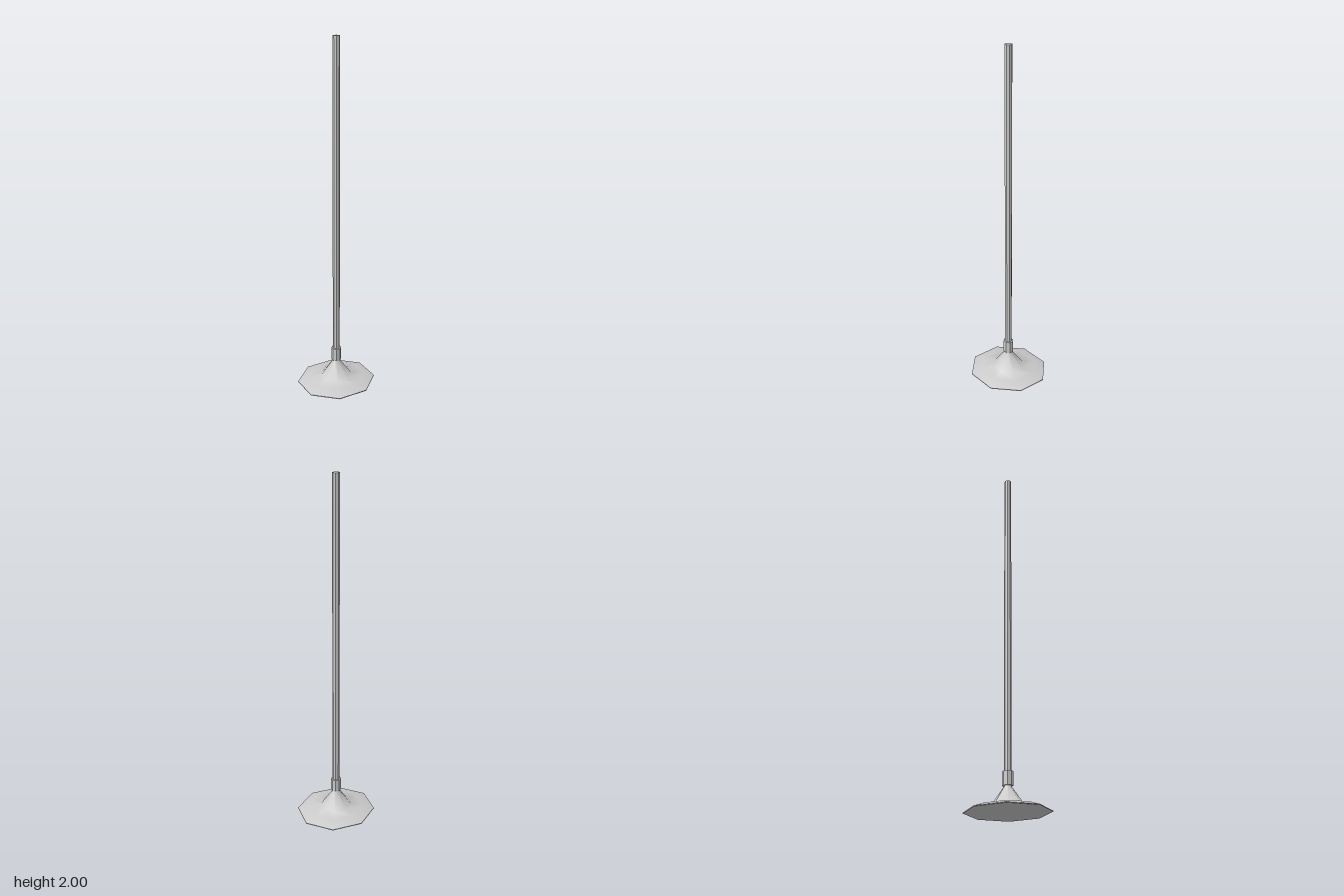
import * as THREE from 'three';
import { toCreasedNormals } from 'three/addons/utils/BufferGeometryUtils.js';

const SIDES = 8;
const DEPTH = 0.93; // the octagons are slightly narrower in z

export function createModel() {
  const model = new THREE.Group();
  model.name = 'poleOnBase';
  const material = new THREE.MeshStandardMaterial({ color: 0xcccccc });
  const flat = new THREE.MeshStandardMaterial({ color: 0xcccccc, flatShading: true });

  const add = (name, geometry, mat) => {
    geometry.scale(1, 1, DEPTH);
    const mesh = new THREE.Mesh(geometry, mat);
    mesh.name = name;
    model.add(mesh);
  };

  // Upright octagonal prism between two heights
  const prism = (name, radius, y0, y1) => {
    const g = new THREE.CylinderGeometry(radius, radius, y1 - y0, SIDES);
    g.translate(0, (y0 + y1) / 2, 0);
    add(name, g, flat);
  };

  // Flared foot: thin rim, shallow skirt, steep cone, closed underneath
  const profile = [
    [0, 0], [0.236, 0], [0.236, 0.004], [0.168, 0.027],
    [0.092, 0.035], [0.02, 0.132], [0.02, 0.15],
  ].map(([r, y]) => new THREE.Vector2(r, y));
  add('base', toCreasedNormals(new THREE.LatheGeometry(profile, SIDES), 0.9), material);

  // Socket and pole
  prism('collar', 0.03, 0.135, 0.21);
  prism('pole', 0.021, 0.135, 2);

  return model;
}
